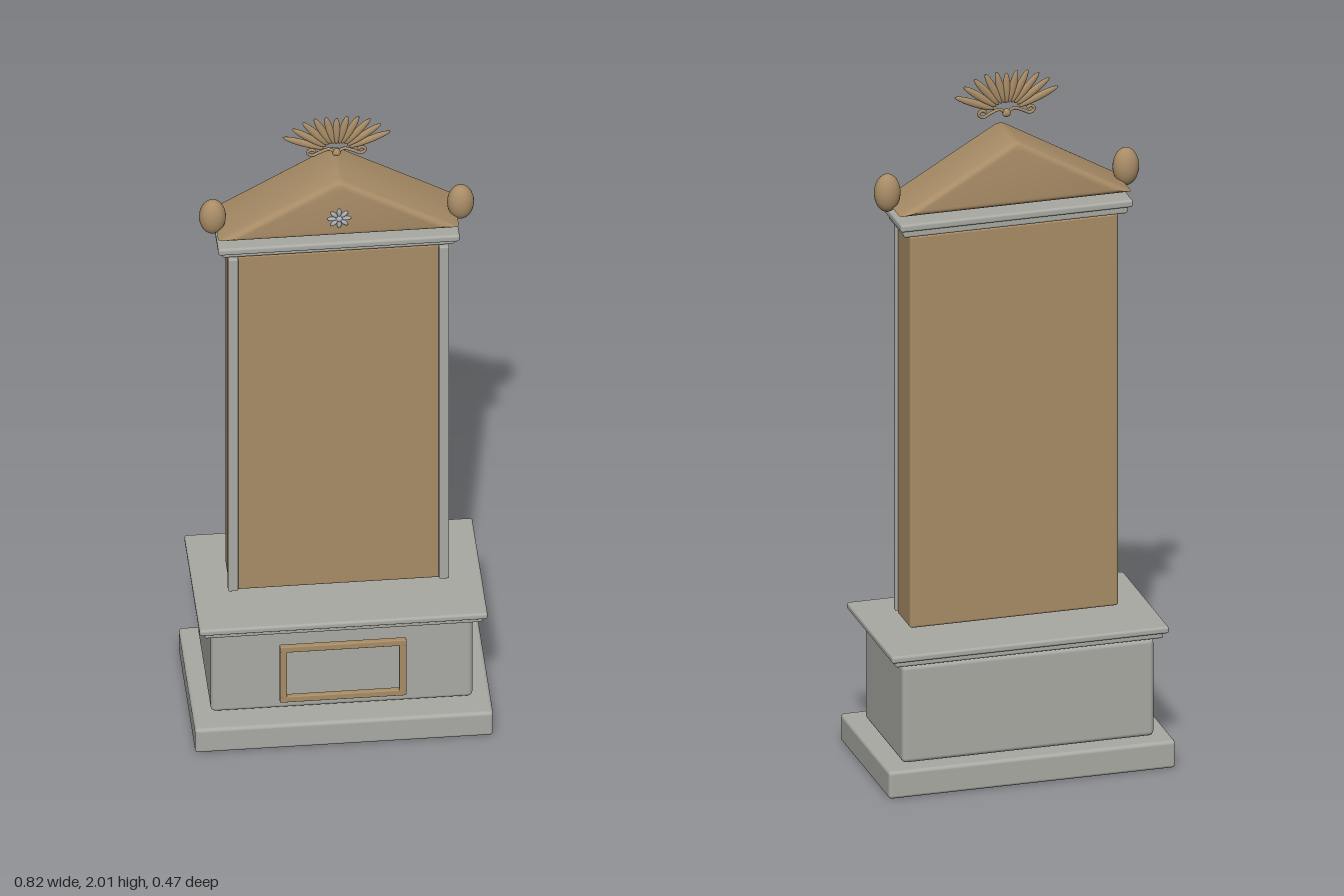
import * as THREE from 'three';
import { RoundedBoxGeometry } from 'three/addons/geometries/RoundedBoxGeometry.js';
import { toCreasedNormals } from 'three/addons/utils/BufferGeometryUtils.js';

export function createModel() {
  const root = new THREE.Group();
  root.name = 'stele';
  const material = (name, color) => {
    const m = new THREE.MeshStandardMaterial({ color });
    m.name = name;
    return m;
  };
  const stone = material('grey stone', 0xa9a9a4);
  const bronze = material('tan bronze', 0xa88c66);
  const silver = material('pale silver', 0xa6abb2);

  const add = (name, geometry, mat, parent = root) => {
    const mesh = new THREE.Mesh(geometry, mat);
    mesh.name = name;
    parent.add(mesh);
    return mesh;
  };
  // Rounded block given by its min and max on each axis
  const block = (name, mat, [x0, x1], [y0, y1], [z0, z1], r, parent) => {
    const g = new RoundedBoxGeometry(x1 - x0, y1 - y0, z1 - z0, 3, r);
    add(name, g, mat, parent).position.set((x0 + x1) / 2, (y0 + y1) / 2, (z0 + z1) / 2);
  };
  const ball = new THREE.SphereGeometry(1, 24, 16);
  const ellipsoid = (name, mat, pos, size, parent) => {
    const m = add(name, ball, mat, parent);
    m.position.set(...pos);
    m.scale.set(...size);
    return m;
  };

  // Pedestal
  block('plinth', stone, [-0.41, 0.41], [0, 0.08], [-0.233, 0.233], 0.01);
  block('pedestalDie', stone, [-0.36, 0.36], [0.085, 0.372], [-0.195, 0.165], 0.014);
  block('pedestalCorniceLower', stone, [-0.383, 0.383], [0.374, 0.393], [-0.206, 0.208], 0.007);
  block('pedestalCorniceUpper', stone, [-0.396, 0.396], [0.391, 0.411], [-0.217, 0.218], 0.007);

  // Open inscription frame
  const frame = new THREE.Group();
  frame.name = 'inscriptionFrame';
  root.add(frame);
  const fz = [0.188, 0.203];
  for (const [y0, y1] of [[0.134, 0.154], [0.306, 0.326]])
    block('frameRail', bronze, [-0.174, 0.174], [y0, y1], fz, 0.003, frame);
  for (const s of [-1, 1])
    block('frameStile', bronze, [s * 0.164 - 0.01, s * 0.164 + 0.01], [0.15, 0.31], fz, 0.003, frame);

  // Shaft and edge strips
  block('shaft', bronze, [-0.298, 0.298], [0.425, 1.58], [-0.06, 0.063], 0.008);
  for (const s of [-1, 1])
    block('edgeStrip', stone, [s * 0.29 - 0.014, s * 0.29 + 0.014], [0.432, 1.58], [0.06, 0.078], 0.004);

  // Cap cornice
  block('capCorniceLower', stone, [-0.32, 0.32], [1.583, 1.606], [-0.078, 0.073], 0.007);
  block('capCorniceUpper', stone, [-0.332, 0.332], [1.604, 1.626], [-0.089, 0.09], 0.007);

  // Pediment: a triangular prism whose section shrinks over a rounded edge
  const slope = Math.atan2(0.185, 0.335), r = 0.018, halfDepth = 0.088;
  const section = (inset, z) => {
    const x = 0.331 - inset / Math.tan(slope / 2);
    const top = 1.834 - inset / Math.cos(slope);
    const c = 0.012;
    return [[-x, 1.646 + inset, z], [x, 1.646 + inset, z],
      [c, top - c * Math.tan(slope) * 0.8, z], [0, top - 0.003, z], [-c, top - c * Math.tan(slope) * 0.8, z]];
  };
  const loops = [];
  for (const side of [-1, 1])
    for (let i = 0; i <= 4; i++) {
      const a = (side < 0 ? i : 4 - i) / 4 * Math.PI / 2;
      loops.push(section(r * (1 - Math.sin(a)), side * (halfDepth - r + r * Math.cos(a))));
    }
  const pts = loops.flat(2), idx = [], n = 5;
  for (let k = 0; k < loops.length - 1; k++)
    for (let i = 0; i < n; i++) {
      const a = k * n + i, b = k * n + (i + 1) % n;
      idx.push(a, b, b + n, a, b + n, a + n);
    }
  const last = (loops.length - 1) * n;
  for (let i = 1; i < n - 1; i++) idx.push(0, i + 1, i, last, last + i, last + i + 1);
  const prism = new THREE.BufferGeometry();
  prism.setAttribute('position', new THREE.Float32BufferAttribute(pts, 3));
  prism.setIndex(idx);
  add('pediment', toCreasedNormals(prism, 0.5), bronze);

  // Rosette on the pediment
  const rosette = new THREE.Group();
  rosette.name = 'rosette';
  rosette.position.set(0, 1.711, 0.09);
  root.add(rosette);
  for (let i = 0; i < 8; i++) {
    const a = i * Math.PI / 4;
    ellipsoid('rosettePetal', silver, [Math.cos(a) * 0.02, Math.sin(a) * 0.02, 0],
      [0.013, 0.006, 0.006], rosette).rotation.z = a;
  }
  ellipsoid('rosetteCentre', silver, [0, 0, 0.001], [0.009, 0.009, 0.008], rosette);

  // Corner knobs
  for (const s of [-1, 1])
    ellipsoid('cornerKnob', bronze, [s * 0.341, 1.686, 0.014], [0.037, 0.055, 0.03]);

  // Fan-shaped crest
  const crest = new THREE.Group();
  crest.name = 'palmetteCrest';
  crest.position.set(0, 1.882, 0.014);
  root.add(crest);
  for (let i = -5; i <= 5; i++) {
    const a = Math.PI / 2 - i * 0.235;
    const len = 0.118 + 0.0085 * Math.abs(i), mid = len * 0.62;
    ellipsoid('crestLeaf', bronze, [Math.cos(a) * mid, Math.sin(a) * mid, 0],
      [len * 0.38, 0.0105, 0.007], crest).rotation.z = a;
  }
  // Curled scrolls below the leaves
  for (const s of [-1, 1]) {
    const curl = new THREE.CatmullRomCurve3(
      [[0, -0.002], [0.02, 0.012], [0.045, 0.004], [0.068, -0.006], [0.08, 0.004], [0.07, 0.014], [0.058, 0.008]]
        .map(([x, y]) => new THREE.Vector3(s * x, y, 0)));
    add('crestScroll', new THREE.TubeGeometry(curl, 30, 0.0045, 8), bronze, crest);
  }
  ellipsoid('crestKnob', bronze, [0, 0, 0], [0.012, 0.012, 0.009], crest);

  return root;
}
